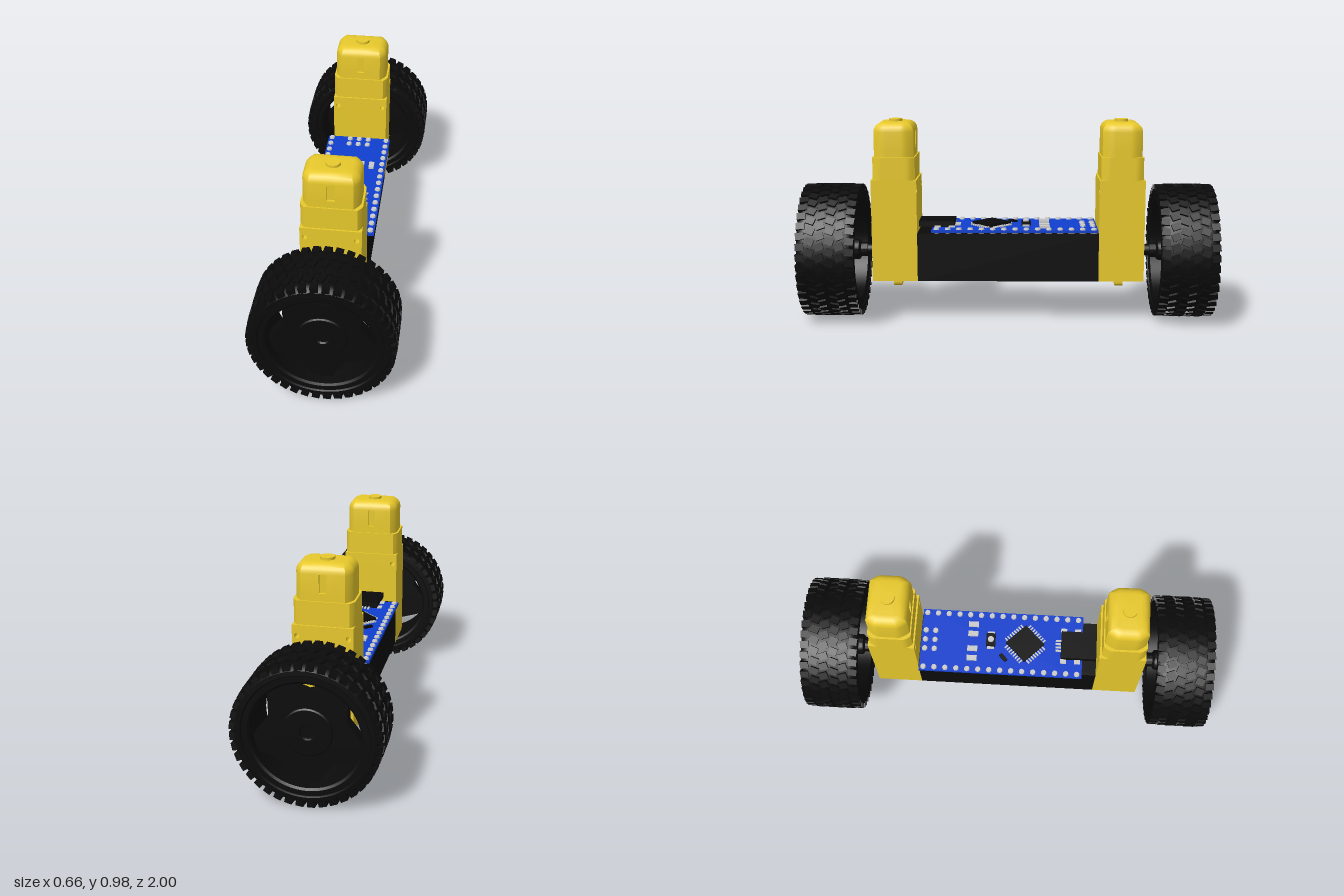
import * as THREE from 'three';
import { mergeGeometries, toCreasedNormals } from 'three/addons/utils/BufferGeometryUtils.js';

const mat = (color) => new THREE.MeshStandardMaterial({ color });
const YELLOW = mat(0xe8c92c), BLACK = mat(0x0b0b0b), BLUE = mat(0x0f3fd0), METAL = mat(0xcccccc);

function add(parent, name, geometry, material, x = 0, y = 0, z = 0) {
  const mesh = new THREE.Mesh(geometry, material);
  mesh.name = name;
  mesh.position.set(x, y, z);
  parent.add(mesh);
  return mesh;
}

const box = (w, h, d, x = 0, y = 0, z = 0) => new THREE.BoxGeometry(w, h, d).translate(x, y, z);
const rod = (r, h, n = 24) => new THREE.CylinderGeometry(r, r, h, n);
const creased = (g, angle = 0.6) => toCreasedNormals(g, angle);

// Circle flattened to +-hx and +-hz, with a slot of depth n in both flats
function section(r, hx, hz, n) {
  const pts = [], t = Math.asin(hz / r), w = 0.017, steps = 16;
  for (const s of [1, -1]) {
    for (let i = 0; i <= steps; i++) {
      const a = -t + (2 * t * i) / steps;
      pts.push([s * Math.min(hx, r * Math.cos(a)), s * r * Math.sin(a)]);
    }
    pts.push([s * w, s * hz], [s * w, s * (hz - n)], [-s * w, s * (hz - n)], [-s * w, s * hz]);
  }
  return pts;
}

// Stacks sections at rising heights and closes the top
function loft(layers) {
  const pos = [], idx = [], n = layers[0].pts.length;
  for (const { y, pts } of layers) for (const [x, z] of pts) pos.push(x, y, z);
  const last = (layers.length - 1) * n;
  for (let k = 0; k < last; k += n) {
    for (let i = 0; i < n; i++) {
      const j = (i + 1) % n;
      idx.push(k + i, k + n + i, k + j, k + j, k + n + i, k + n + j);
    }
  }
  pos.push(0, layers.at(-1).y, 0);
  for (let i = 0; i < n; i++) idx.push(last + n, last + ((i + 1) % n), last + i);
  const g = new THREE.BufferGeometry();
  g.setAttribute('position', new THREE.Float32BufferAttribute(pos, 3));
  g.setIndex(idx);
  g.computeVertexNormals();
  return creased(g);
}

function makeMotor() {
  const g = new THREE.Group();
  g.name = 'gearMotor';

  // Gearbox with two through holes
  const s = new THREE.Shape([[-0.137, 0.2], [0.137, 0.2], [0.137, 0.695], [-0.137, 0.695]]
    .map(([x, y]) => new THREE.Vector2(x, y)));
  for (const x of [-0.115, 0.115]) s.holes.push(new THREE.Path().absarc(x, 0.645, 0.012, 0, Math.PI * 2, true));
  add(g, 'gearbox', creased(new THREE.ExtrudeGeometry(s, { depth: 0.22, bevelEnabled: false, curveSegments: 10 })), YELLOW, 0, 0, 0.44);

  // Drilled tab under the gearbox
  const tab = new THREE.Shape();
  tab.moveTo(-0.03, 0.2);
  tab.lineTo(-0.03, 0.17);
  tab.quadraticCurveTo(-0.03, 0.15, -0.012, 0.15);
  tab.lineTo(0.012, 0.15);
  tab.quadraticCurveTo(0.03, 0.15, 0.03, 0.17);
  tab.lineTo(0.03, 0.2);
  tab.holes.push(new THREE.Path().absarc(0, 0.175, 0.013, 0, Math.PI * 2, true));
  add(g, 'mountingTab', creased(new THREE.ExtrudeGeometry(tab, { depth: 0.04, bevelEnabled: false })), YELLOW, 0, 0, 0.53);

  // Collar and slotted motor can with a rounded top
  add(g, 'motorCollar', loft([0.695, 0.805].map((y) => ({ y, pts: section(0.155, 0.137, 0.102, 0) }))), YELLOW, 0, 0, 0.55);
  const can = [[0.8, 0], [0.84, 0], [0.84, 0.012], [0.925, 0.012], [0.925, 0]]
    .map(([y, n]) => ({ y, pts: section(0.137, 0.128, 0.096, n) }));
  for (let i = 1; i <= 6; i++) {
    const a = (i / 6) * Math.PI / 2, d = 0.045 * (1 - Math.cos(a));
    can.push({ y: 0.925 + 0.045 * Math.sin(a), pts: section(0.137 - d, 0.128 - d, 0.096 - d, 0) });
  }
  add(g, 'motorCan', loft(can), YELLOW, 0, 0, 0.55);
  add(g, 'motorEndCap', rod(0.033, 0.02), YELLOW, 0, 0.972, 0.55);
  return g;
}

function makeWheel() {
  const g = new THREE.Group();
  g.name = 'wheel';
  g.position.y = 0.33;
  const lathe = (pts, n) => creased(new THREE.LatheGeometry(pts.map(([r, z]) => new THREE.Vector2(r, z)), n).rotateX(Math.PI / 2));

  // Tyre carcass and rim barrel
  add(g, 'tyre', lathe([[0.272, 0.735], [0.28, 0.723], [0.3, 0.724], [0.314, 0.74], [0.319, 0.76], [0.319, 0.96],
    [0.314, 0.98], [0.3, 0.996], [0.28, 0.997], [0.272, 0.985], [0.272, 0.735]], 80), BLACK);
  add(g, 'rim', lathe([[0.24, 0.735], [0.25, 0.728], [0.274, 0.728], [0.274, 0.992], [0.25, 0.992], [0.24, 0.985], [0.24, 0.735]], 80), BLACK);

  // Staggered slanted tread blocks
  const blocks = [], count = 40;
  for (let row = 0; row < 6; row++) {
    const edge = row === 0 || row === 5, z = 0.743 + row * 0.0468;
    for (let i = 0; i < count; i++) {
      const b = box(0.034, edge ? 0.024 : 0.02, 0.04);
      b.rotateY((row % 2 ? 1 : -1) * (edge ? 0.1 : 0.35));
      b.translate(0, edge ? 0.314 : 0.319, z);
      b.rotateZ(((i + (row % 2) * 0.5) / count) * Math.PI * 2);
      blocks.push(b);
    }
  }
  add(g, 'tread', mergeGeometries(blocks), BLACK);

  // Five-spoked disc: windows cut out between the spokes
  const disc = new THREE.Shape().absarc(0, 0, 0.25, 0, Math.PI * 2, false);
  for (let k = 0; k < 5; k++) {
    const mid = Math.PI / 2 + (k * Math.PI * 2) / 5, hole = new THREE.Path();
    const p = (u, v) => [v * Math.cos(mid) + u * Math.sin(mid), v * Math.sin(mid) - u * Math.cos(mid)];
    hole.moveTo(...p(-0.045, 0.162));
    hole.quadraticCurveTo(...p(0, 0.125), ...p(0.045, 0.162));
    for (let i = -6; i <= 6; i++) {
      const a = (-i / 6) * 0.45;
      hole.lineTo(...p(-0.239 * Math.sin(a), 0.239 * Math.cos(a)));
    }
    hole.closePath();
    disc.holes.push(hole);
  }
  add(g, 'spokes', creased(new THREE.ExtrudeGeometry(disc, { depth: 0.06, bevelEnabled: false, curveSegments: 40 })), BLACK, 0, 0, 0.88);

  // Hub and axle
  add(g, 'hub', lathe([[0, 0.7], [0.036, 0.7], [0.036, 0.73], [0.05, 0.74], [0.06, 0.89], [0.11, 0.89], [0.11, 0.945],
    [0.104, 0.95], [0.035, 0.95], [0.03, 0.942], [0, 0.942]], 40), BLACK);
  add(g, 'axle', rod(0.028, 0.1).rotateX(Math.PI / 2), BLACK, 0, 0, 0.67);
  return g;
}

function makeBoard() {
  const g = new THREE.Group();
  g.name = 'controlBoard';
  const top = 0.457;
  add(g, 'circuitBoard', box(0.324, 0.012, 0.805), BLUE, -0.001, 0.451, -0.033);

  // Solder pads along both edges and the six-pin header
  const pads = [], pad = (x, z) => pads.push(new THREE.CylinderGeometry(0.012, 0.018, 0.024, 12).translate(x, 0.454, z));
  for (let i = 0; i < 15; i++) for (const x of [-0.144, 0.142]) pad(x, -0.415 + i * 0.0543);
  for (const x of [-0.048, 0, 0.048]) for (const z of [-0.415, -0.367]) pad(x, z);
  add(g, 'solderPads', mergeGeometries(pads), METAL);

  // Indicator lights
  const lights = [-0.088, -0.038, 0.04, 0.09].map((x) => box(0.026, 0.012, 0.05, x, top + 0.005, -0.178));
  add(g, 'indicatorLights', mergeGeometries(lights), METAL);

  // Reset button
  add(g, 'resetButton', box(0.066, 0.018, 0.046), BLACK, 0.01, top + 0.009, -0.088);
  add(g, 'buttonContacts', box(0.09, 0.008, 0.034), METAL, 0.01, top + 0.004, -0.088);
  add(g, 'buttonCap', rod(0.015, 0.012), METAL, 0.01, top + 0.02, -0.088);

  // Diagonal processor with legs on four sides
  const legs = [];
  for (let side = 0; side < 4; side++) {
    for (let i = 0; i < 8; i++) {
      legs.push(box(0.007, 0.006, 0.024, -0.052 + i * 0.0149, 0.003, 0.077).rotateY((side * Math.PI) / 2));
    }
  }
  const chip = new THREE.Group();
  chip.name = 'processor';
  chip.position.set(0, top, 0.083);
  chip.rotation.y = Math.PI / 4;
  add(chip, 'processorBody', box(0.135, 0.014, 0.135), BLACK, 0, 0.009, 0);
  add(chip, 'processorLegs', mergeGeometries(legs), METAL);
  g.add(chip);
  add(g, 'resonator', box(0.045, 0.01, 0.018), BLACK, -0.077, top + 0.005, -0.022).rotation.y = Math.PI / 4;

  // Connector socket with its leads and anchor tabs
  add(g, 'connectorSocket', box(0.14, 0.027, 0.175), BLACK, 0, top + 0.0135, 0.35);
  const leads = [-0.026, -0.009, 0.009, 0.026].map((x) => box(0.009, 0.006, 0.03, x, top + 0.003, 0.25));
  for (const x of [-0.08, 0.08]) for (const z of [0.275, 0.345]) leads.push(box(0.024, 0.006, 0.03, x, top + 0.003, z));
  add(g, 'connectorLeads', mergeGeometries(leads), METAL);
  return g;
}

export function createModel() {
  const model = new THREE.Group();
  model.name = 'twoWheeledRobot';
  add(model, 'chassis', box(0.274, 0.235, 0.88), BLACK, 0, 0.3175, 0);
  model.add(makeBoard());

  // Matching drive units at both ends
  for (const [name, turn] of [['frontDrive', 0], ['rearDrive', Math.PI]]) {
    const drive = new THREE.Group();
    drive.name = name;
    drive.rotation.y = turn;
    drive.add(makeMotor(), makeWheel());
    model.add(drive);
  }
  return model;
}
